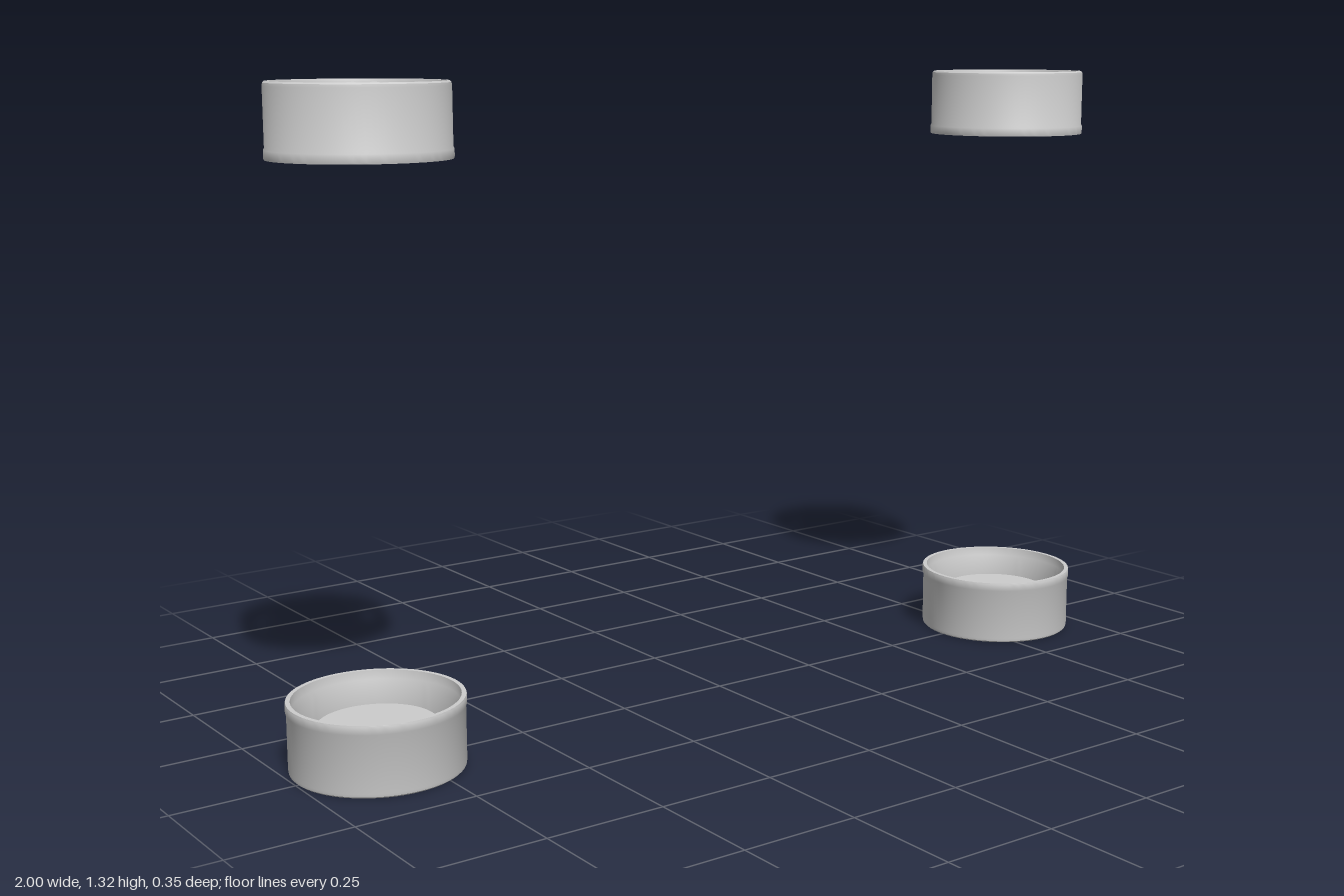
import * as THREE from 'three';
import { toCreasedNormals } from 'three/addons/utils/BufferGeometryUtils.js';

const material = new THREE.MeshStandardMaterial({ color: 0xcccccc, side: THREE.DoubleSide });
const SPOKE_PAIRS = 6;

function part(name, geometry) {
  const mesh = new THREE.Mesh(toCreasedNormals(geometry, 0.6), material);
  mesh.name = name;
  return mesh;
}

function lathe(name, profile, segments = 64) {
  return part(name, new THREE.LatheGeometry(profile.map(([r, y]) => new THREE.Vector2(r, y)), segments));
}

// One spoke: dished side profile, extruded to its width, flaring towards the rim
function spokeGeometry() {
  const s = new THREE.Shape();
  s.moveTo(0.025, 0.108);
  s.bezierCurveTo(0.07, 0.108, 0.12, 0.126, 0.164, 0.138);
  s.lineTo(0.164, 0.116);
  s.bezierCurveTo(0.12, 0.108, 0.08, 0.092, 0.025, 0.092);
  s.closePath();
  const g = new THREE.ExtrudeGeometry(s, {
    depth: 0.01, curveSegments: 10, bevelThickness: 0.004, bevelSize: 0.003, bevelOffset: -0.003, bevelSegments: 2,
  });
  g.translate(0, 0, -0.005);
  const p = g.attributes.position;
  for (let i = 0; i < p.count; i++) {
    const t = (p.getX(i) - 0.025) / 0.139;
    p.setZ(i, p.getZ(i) * (0.75 + 0.4 * t));
  }
  return g;
}

// Curved brake caliper hugging the edge of the disc
function caliperGeometry(angle, inner, outer, halfSpan, y, height) {
  const s = new THREE.Shape();
  s.absarc(0, 0, outer, angle - halfSpan, angle + halfSpan, false);
  s.absarc(0, 0, inner, angle + halfSpan, angle - halfSpan, true);
  s.closePath();
  const g = new THREE.ExtrudeGeometry(s, { depth: height, bevelEnabled: false, curveSegments: 14 });
  g.rotateX(-Math.PI / 2);
  g.translate(0, y, 0);
  return g;
}

// Wheel with its axis along y: open back at y = 0, spoked face at the top
function createWheel(name, caliperAngle) {
  const wheel = new THREE.Group();
  wheel.name = name;

  // Thin barrel with a slightly wider back lip and a rounded front edge
  wheel.add(lathe('rim', [
    [0.164, 0], [0.173, 0], [0.174, 0.003], [0.174, 0.018], [0.172, 0.022],
    [0.172, 0.134], [0.171, 0.140], [0.168, 0.143], [0.163, 0.143], [0.161, 0.138],
    [0.160, 0.115], [0.157, 0.09], [0.157, 0.03], [0.162, 0.018], [0.164, 0],
  ], 96));

  // Brake disc with raised centre
  wheel.add(lathe('brakeDisc', [
    [0, 0.055], [0.117, 0.055], [0.117, 0.073], [0.065, 0.073], [0.062, 0.085], [0, 0.085],
  ]));

  // Hub plate and centre cap
  wheel.add(lathe('hub', [
    [0, 0.083], [0.034, 0.083], [0.043, 0.092], [0.042, 0.103], [0.036, 0.108],
    [0.017, 0.108], [0.016, 0.104], [0.014, 0.104], [0.013, 0.110], [0.009, 0.112], [0, 0.112],
  ], 48));

  // Paired spokes, and a wheel nut between neighbouring pairs
  const spoke = spokeGeometry();
  for (let i = 0; i < SPOKE_PAIRS; i++) {
    const a = (i / SPOKE_PAIRS) * Math.PI * 2;
    const pair = new THREE.Group();
    pair.name = 'spokePair';
    pair.rotation.y = a;
    for (const side of [-1, 1]) {
      const m = part('spoke', spoke);
      m.position.z = side * 0.009;
      m.rotation.y = -side * 0.085;
      pair.add(m);
    }
    wheel.add(pair);

    const nut = part('wheelNut', new THREE.CylinderGeometry(0.004, 0.004, 0.006, 6));
    const b = a + Math.PI / SPOKE_PAIRS;
    nut.position.set(0.026 * Math.cos(b), 0.110, 0.026 * Math.sin(b));
    wheel.add(nut);
  }

  // Caliper body, with narrower pads reaching over both disc faces
  wheel.add(part('caliperBody', caliperGeometry(caliperAngle, 0.119, 0.136, 0.56, 0.048, 0.036)));
  wheel.add(part('caliperFrontPad', caliperGeometry(caliperAngle, 0.098, 0.122, 0.4, 0.075, 0.009)));
  wheel.add(part('caliperBackPad', caliperGeometry(caliperAngle, 0.108, 0.122, 0.4, 0.048, 0.006)));
  return wheel;
}

export function createModel() {
  const model = new THREE.Group();
  model.name = 'wheelSet';
  const angle = 4.14;
  for (const side of [-1, 1]) {
    const label = side > 0 ? 'Left' : 'Right';

    // Upper wheels face up
    const upper = createWheel('upper' + label + 'Wheel', angle);
    upper.position.set(side * 0.826, 1.177, 0);
    model.add(upper);

    // Lower wheels face down
    const lower = createWheel('lower' + label + 'Wheel', -angle);
    lower.rotation.x = Math.PI;
    lower.position.set(side * 0.826, 0.143, 0);
    model.add(lower);
  }
  return model;
}
